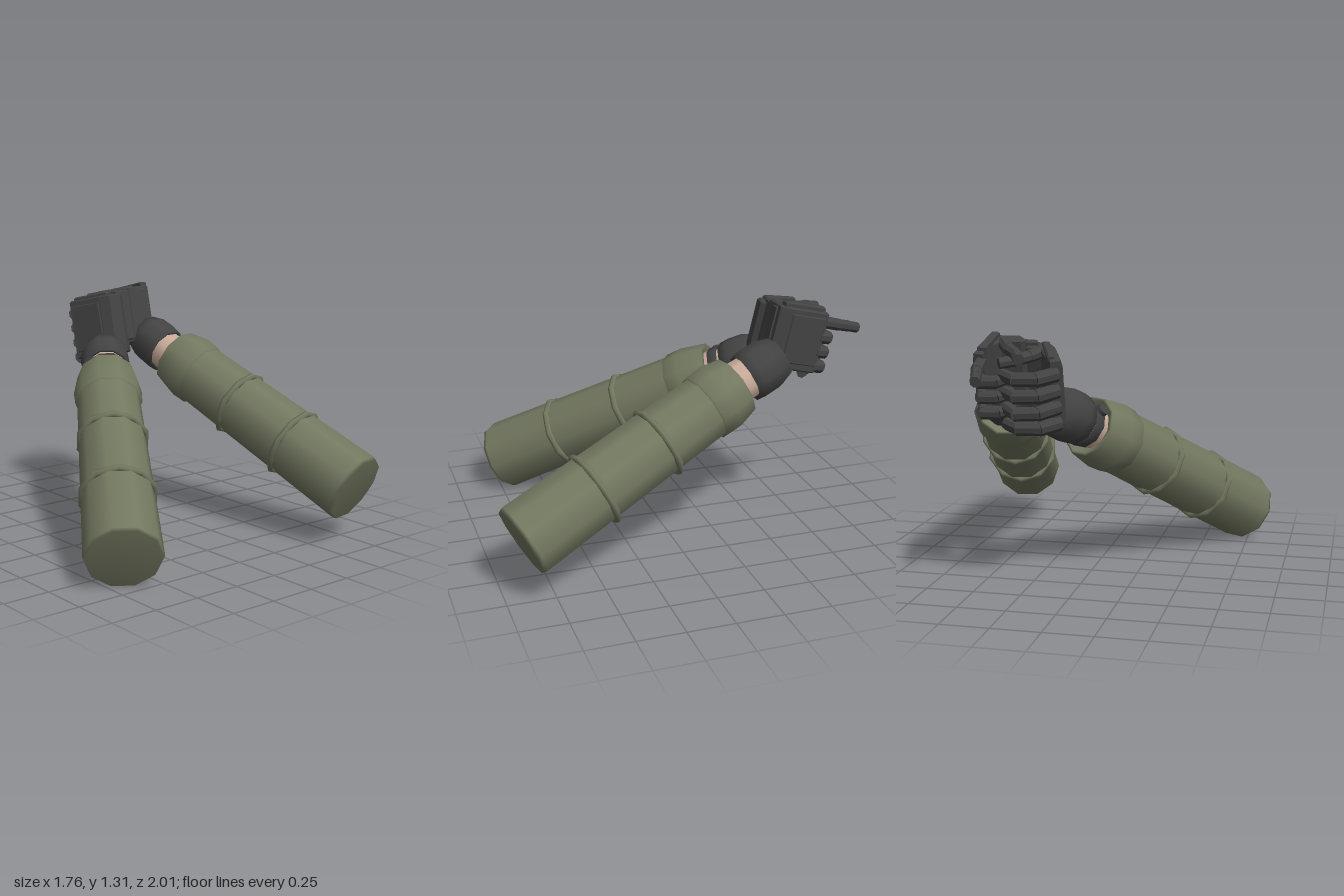
import * as THREE from 'three';

const mat = (name, color) => Object.assign(new THREE.MeshStandardMaterial({ color }), { name });
const V = (x, y, z) => new THREE.Vector3(x, y, z);

export function createModel() {
  const model = new THREE.Group();
  model.name = 'sleevedArms';
  const cloth = mat('oliveCloth', 0x737860);
  const glove = mat('darkGlove', 0x434344);
  const skin = mat('skin', 0xc9ab9a);
  cloth.side = glove.side = THREE.DoubleSide;
  const gloveHard = glove.clone();
  gloveHard.flatShading = true;
  gloveHard.name = 'darkGlovePlates';

  const add = (parent, name, geo, material) => {
    const m = new THREE.Mesh(geo, material);
    m.name = name;
    parent.add(m);
    return m;
  };
  // turn an object so its local z runs from a to b
  const aim = (obj, a, b) => {
    obj.quaternion.setFromRotationMatrix(new THREE.Matrix4().lookAt(b, a, V(0, 1, 0)));
    return obj;
  };
  // ten-sided surface of revolution about z, from [radius, distance] pairs
  const turned = (pts) => new THREE.LatheGeometry(
    pts.map(([r, d]) => new THREE.Vector2(r, d)), 10, Math.PI / 10).rotateX(Math.PI / 2);

  // sleeve, seam rings, cuff, wrist and glove cuff
  const arm = (name, elbow, cuffEnd, gloveA, gloveB, rings, cuffStart) => {
    const g = new THREE.Group();
    g.name = name;
    g.position.copy(elbow);
    aim(g, elbow, cuffEnd);
    model.add(g);
    const L = elbow.distanceTo(cuffEnd), c = cuffStart * L;
    const radius = (d) => 0.197 - 0.027 * d / L;
    add(g, 'sleeve', turned([[0, 0], [0.19, 0], [0.197, 0.02], [radius(c), c + 0.04]]), cloth);
    for (const t of rings) {
      const ring = add(g, 'sleeveRing', new THREE.TorusGeometry(radius(t * L), 0.019, 6, 10), cloth);
      ring.position.z = t * L;
      ring.rotation.z = Math.PI / 10;
    }
    add(g, 'sleeveCuff', turned([[0.16, c], [0.186, c + 0.012], [0.19, c + 0.1],
      [0.165, L], [0.15, L + 0.005], [0.11, L - 0.03]]), cloth);

    const w = new THREE.Group();
    w.name = name + 'Wrist';
    w.position.copy(gloveA);
    aim(w, gloveA, gloveB);
    model.add(w);
    const len = gloveA.distanceTo(gloveB);
    add(w, 'wrist', turned([[0.118, -0.14], [0.112, 0.04]]), skin);
    add(w, 'gloveCuff', turned([[0.112, 0.01], [0.133, 0], [0.14, 0.05], [0.138, len * 0.65],
      [0.112, len], [0, len + 0.03]]), glove);
    return w;
  };
  arm('leftArm', V(0.69, 0.33, 0.905), V(0.45, 0.915, -0.29),
    V(0.43, 0.945, -0.355), V(0.41, 1.035, -0.55), [0.33, 0.626], 0.845);
  const rightWrist = arm('rightArm', V(-0.717, 0.19, 0.72), V(-0.012, 0.835, -0.36),
    V(0.03, 0.875, -0.42), V(0.125, 0.96, -0.57), [0.307, 0.61], 0.83);

  // wrist band with a thin dial on its outer side
  add(rightWrist, 'wristBand', turned([[0.11, -0.075], [0.126, -0.07], [0.126, -0.022], [0.11, -0.017]]), glove);
  const dial = add(rightWrist, 'wristDial', new THREE.CylinderGeometry(0.035, 0.035, 0.02, 10), gloveHard);
  dial.position.set(0.1, 0.085, -0.045);
  dial.rotation.z = -0.85;

  // both hands share one pitched frame
  const hands = new THREE.Group();
  hands.name = 'hands';
  hands.position.set(0, 1.13, -0.645);
  hands.rotation.x = -0.23;
  model.add(hands);

  // block with an [x, z] outline seen from above, between two heights
  const block = (name, outline, y0, y1, bevel = 0.008) => {
    const shape = new THREE.Shape(outline.map(([x, z]) => new THREE.Vector2(x, -z)));
    const geo = new THREE.ExtrudeGeometry(shape, {
      depth: y1 - y0 - 2 * bevel, bevelThickness: bevel, bevelSize: bevel, bevelOffset: -bevel, bevelSegments: 1,
    });
    const m = add(hands, name, geo.rotateX(-Math.PI / 2), gloveHard);
    m.position.y = y0 + bevel;
    return m;
  };
  // jointed digit along [x, z] points, each joint a chamfered bar
  const digit = (name, pts, y, h, w, drop = 0) => {
    const g = new THREE.Group();
    g.name = name;
    hands.add(g);
    for (let i = 0; i + 1 < pts.length; i++) {
      const a = V(pts[i][0], y - drop * i, pts[i][1]);
      const b = V(pts[i + 1][0], y - drop * (i + 1), pts[i + 1][1]);
      const s = 1 - 0.06 * i;
      const geo = new THREE.CylinderGeometry(0.5, 0.5, 1, 8).rotateY(Math.PI / 8).rotateX(Math.PI / 2)
        .scale(w * s * 1.08, h * s * 1.08, a.distanceTo(b) + 0.015);
      const bar = add(g, name + 'Joint', geo, gloveHard);
      bar.position.copy(a).lerp(b, 0.5);
      aim(bar, a, b);
    }
  };

  // left hand: palm, back plate, pointing finger, three curled fingers, thumb
  block('leftPalm', [[0.25, 0.09], [0.29, 0.14], [0.43, 0.14], [0.455, 0.09], [0.455, -0.13],
    [0.405, -0.135], [0.395, 0], [0.37, 0.05], [0.27, 0.06]], -0.17, 0.16);
  block('leftBackPlate', [[0.45, 0.08], [0.466, 0.07], [0.466, -0.11], [0.45, -0.12]], -0.13, 0.13, 0.004);
  block('leftKnuckleRidge', [[0.395, 0.12], [0.44, 0.12], [0.44, -0.11], [0.395, -0.11]], 0.14, 0.185);
  digit('leftPointingFinger', [[0.425, -0.12], [0.415, -0.215], [0.395, -0.285], [0.38, -0.345]], 0.105, 0.06, 0.055, 0.004);
  for (const y of [0.025, -0.055, -0.135])
    digit('leftCurledFinger', [[0.43, -0.12], [0.42, -0.175], [0.34, -0.17], [0.29, -0.1]], y, 0.066, 0.056);
  digit('leftThumb', [[0.36, 0.07], [0.31, -0.02], [0.25, -0.09], [0.22, -0.16]], 0.14, 0.065, 0.06);

  // right hand: palm, back plate, four wrapping fingers, thumb
  block('rightPalm', [[0.025, -0.1], [0.075, -0.125], [0.14, -0.01], [0.17, 0.05], [0.25, 0.07],
    [0.255, 0.12], [0.21, 0.15], [0.14, 0.14], [0.105, 0.09]], -0.22, 0.125);
  block('rightBackPlate', [[0.025, -0.08], [0.04, -0.09], [0.11, 0.08], [0.09, 0.085]], -0.18, 0.09, 0.004);
  block('rightKnuckleRidge', [[0.06, -0.1], [0.09, -0.11], [0.175, 0.1], [0.135, 0.11]], 0.11, 0.145);
  [0.05, -0.035, -0.12, -0.205].forEach((y, i) =>
    digit('rightFinger', [[0.055, -0.11], [0.13, -0.185 - 0.008 * (i % 3)], [0.24, -0.195 - 0.012 * (i % 3)],
      [0.31, -0.14]], y, 0.07, 0.06));
  digit('rightThumb', [[0.17, 0.07], [0.21, 0], [0.27, -0.07], [0.33, -0.11]], 0.1, 0.06, 0.055);

  // heel pad closing the grip between the hands
  block('gripHeel', [[0.19, 0.09], [0.2, 0.125], [0.4, 0.15], [0.4, 0.08]], -0.15, 0.145);
  return model;
}
